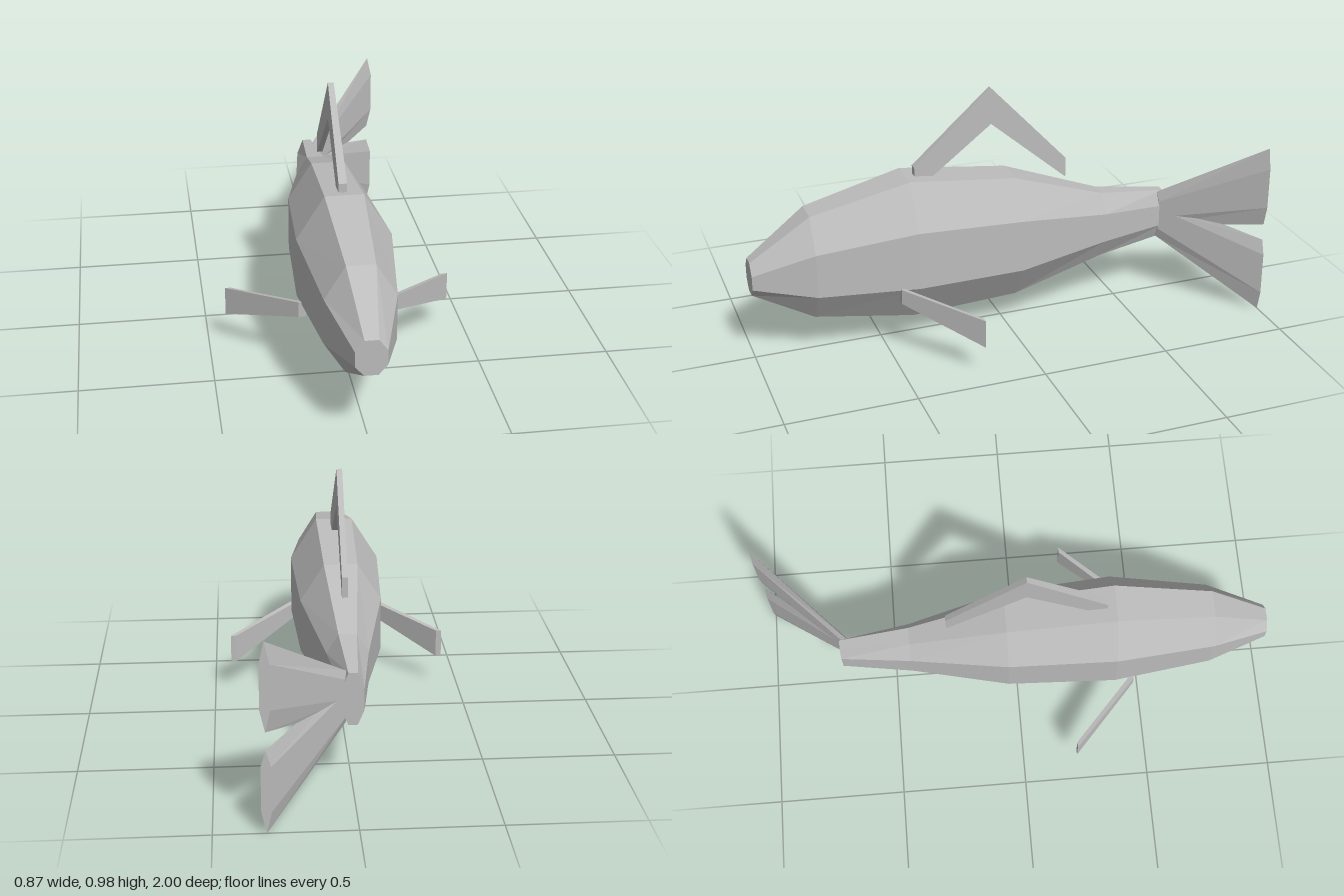
import * as THREE from 'three';

const grey = new THREE.MeshStandardMaterial({ color: 0xbcbcbc, flatShading: true });
grey.name = 'grey';

// Skins a row of cross-sections running from front (+z) to back, with both ends capped.
// Each section is { z, pts }, its points counter-clockwise seen from the front.
function loft(name, sections) {
  const pos = [];
  const rings = sections.map(({ z, pts }) => pts.map(([x, y]) => [x, y, z]));
  const tri = (a, b, c) => pos.push(...a, ...b, ...c);
  const n = rings[0].length;
  for (let s = 0; s < rings.length - 1; s++) {
    for (let i = 0; i < n; i++) {
      const j = (i + 1) % n;
      const [a, b, c, d] = [rings[s][i], rings[s][j], rings[s + 1][j], rings[s + 1][i]];
      tri(a, d, c);
      tri(a, c, b);
    }
  }
  const first = rings[0], last = rings[rings.length - 1];
  for (let i = 1; i < n - 1; i++) {
    tri(first[0], first[i], first[i + 1]);
    tri(last[0], last[i + 1], last[i]);
  }
  const geo = new THREE.BufferGeometry();
  geo.setAttribute('position', new THREE.Float32BufferAttribute(pos, 3));
  geo.computeVertexNormals();
  const mesh = new THREE.Mesh(geo, grey);
  mesh.name = name;
  return mesh;
}

// Cross-section shapes
const octagon = (z, w, t, y0, y1, y2, y3) => ({
  z, pts: [[-t, y0], [t, y0], [w, y1], [w, y2], [t, y3], [-t, y3], [-w, y2], [-w, y1]],
});
const quad = (z, x0, x1, y0, y1) => ({ z, pts: [[x0, y0], [x1, y0], [x1, y1], [x0, y1]] });
const blade = (z, x, h, y0, y1, y2, y3) => ({
  z, pts: [[x, y0], [x + h, y1], [x + h, y2], [x, y3], [x - h, y2], [x - h, y1]],
});

export function createModel() {
  const fish = new THREE.Group();
  fish.name = 'fish';

  // Eight-sided body, from the blunt snout to the tail root
  fish.add(loft('body', [
    octagon(1.0, 0.057, 0.025, 0.28, 0.317, 0.373, 0.415),
    octagon(0.77, 0.13, 0.053, 0.16, 0.28, 0.455, 0.58),
    octagon(0.385, 0.178, 0.073, 0.105, 0.272, 0.503, 0.67),
    octagon(-0.04, 0.157, 0.065, 0.12, 0.265, 0.475, 0.62),
    octagon(-0.42, 0.078, 0.034, 0.21, 0.29, 0.41, 0.485),
    octagon(-0.695, 0.04, 0.017, 0.25, 0.306, 0.39, 0.45),
  ]));

  // Bent dorsal fin, its rear end free above the back
  fish.add(loft('dorsalFin', [
    quad(0.35, -0.016, 0.016, 0.6, 0.7),
    quad(0.04, -0.011, 0.011, 0.835, 0.98),
    quad(-0.27, -0.011, 0.011, 0.57, 0.65),
  ]));

  // Pectoral fins, swept back and down
  for (const [name, side] of [['leftFin', 1], ['rightFin', -1]]) {
    const section = (z, inner, outer, y0, y1) =>
      quad(z, Math.min(side * inner, side * outer), Math.max(side * inner, side * outer), y0, y1);
    fish.add(loft(name, [
      section(0.46, 0.152, 0.18, 0.222, 0.282),
      section(0.213, 0.411, 0.433, 0.12, 0.232),
    ]));
  }

  // Two tail lobes, swung towards the left
  fish.add(loft('upperTailLobe', [
    blade(-0.67, 0.025, 0.015, 0.3, 0.34, 0.41, 0.45),
    blade(-1.0, 0.315, 0.018, 0.378, 0.457, 0.622, 0.703),
  ]));
  fish.add(loft('lowerTailLobe', [
    blade(-0.67, 0.025, 0.015, 0.25, 0.29, 0.38, 0.42),
    blade(-1.0, 0.315, 0.018, 0.0, 0.08, 0.25, 0.31),
  ]));

  return fish;
}
